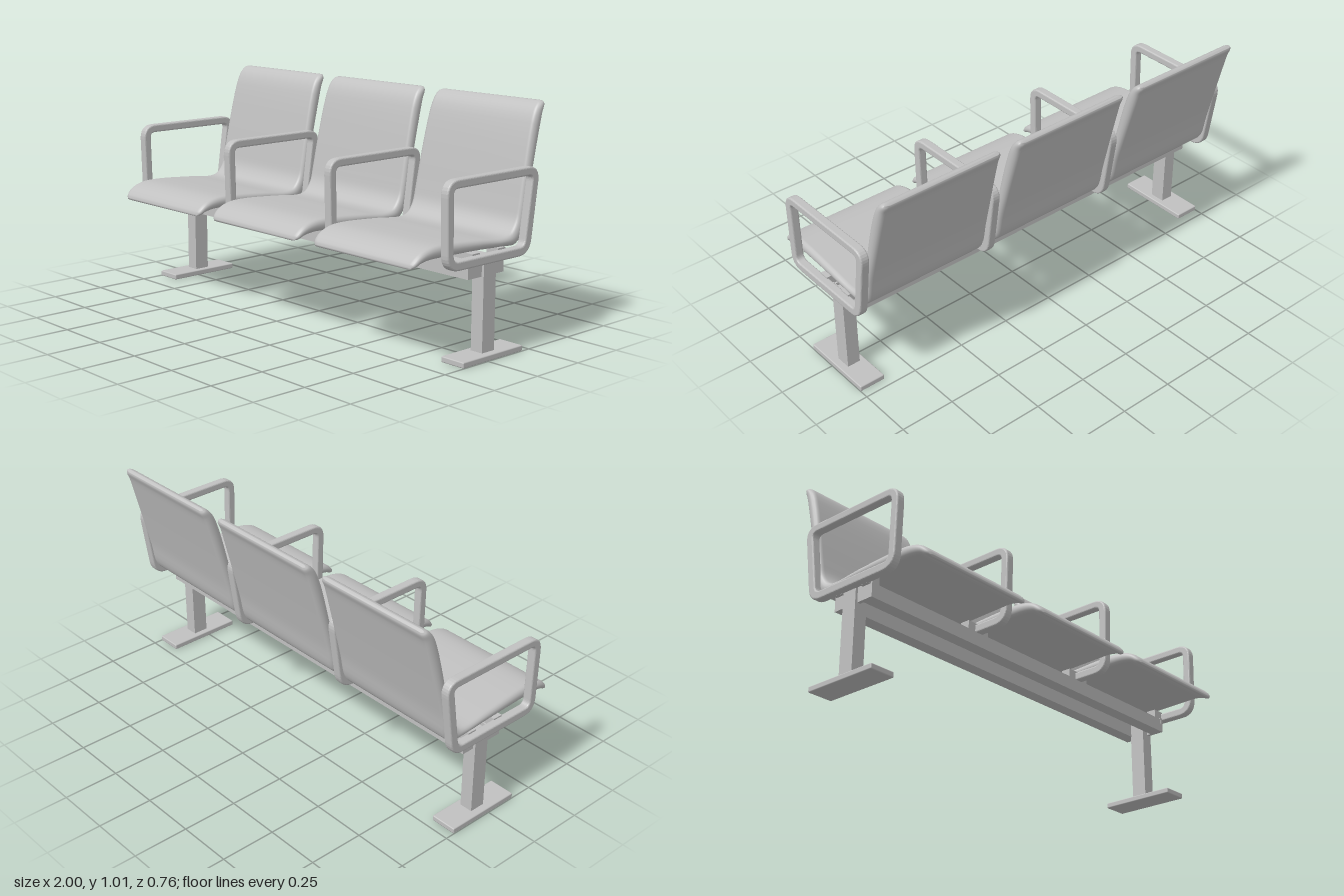
import * as THREE from 'three';
import { RoundedBoxGeometry } from 'three/addons/geometries/RoundedBoxGeometry.js';

// Seat shell stations from front lip to top of back:
// [half width, upper z, upper y, lower z, lower y]
const STATIONS = [
  [0.268, 0.378, 0.428, 0.374, 0.422],
  [0.283, 0.372, 0.445, 0.357, 0.426],
  [0.291, 0.34, 0.475, 0.335, 0.438],
  [0.294, 0.29, 0.494, 0.29, 0.447],
  [0.297, 0.22, 0.5, 0.22, 0.448],
  [0.302, 0, 0.486, 0, 0.445],
  [0.303, -0.13, 0.474, -0.14, 0.437],
  [0.303, -0.175, 0.485, -0.205, 0.437],
  [0.303, -0.21, 0.53, -0.24, 0.47],
  [0.302, -0.228, 0.6, -0.265, 0.58],
  [0.3, -0.25, 0.71, -0.293, 0.69],
  [0.294, -0.3, 0.92, -0.345, 0.885],
  [0.291, -0.325, 0.975, -0.365, 0.955],
  [0.287, -0.35, 1.0, -0.378, 0.985],
  [0.277, -0.368, 1.006, -0.378, 0.998],
];

// Lofts a flat section with rounded sides along the seat profile
function seatGeometry() {
  const upper = new THREE.CatmullRomCurve3(STATIONS.map(s => new THREE.Vector3(s[0], s[2], s[1])));
  const lower = new THREE.CatmullRomCurve3(STATIONS.map(s => new THREE.Vector3(s[0], s[4], s[3])));
  const rows = 56, half = 9, n = half * 2, r = 0.022;
  const pos = [], idx = [];
  for (let j = 0; j <= rows; j++) {
    const a = upper.getPoint(j / rows), b = lower.getPoint(j / rows);
    for (let i = 0; i < n; i++) {
      const side = i < half ? 1 : -1;
      const angle = -Math.PI / 2 + Math.PI * (i % half) / (half - 1) + (side < 0 ? Math.PI : 0);
      const k = (1 + Math.sin(angle)) / 2;
      pos.push(side * (a.x - r) + r * Math.cos(angle), b.y + (a.y - b.y) * k, b.z + (a.z - b.z) * k);
    }
  }
  for (let j = 0; j < rows; j++) {
    for (let i = 0; i < n; i++) {
      const i2 = (i + 1) % n;
      const p = j * n + i, q = p + n, s = (j + 1) * n + i2, t = j * n + i2;
      idx.push(p, q, s, p, s, t);
    }
  }
  // End caps
  const last = rows * n;
  for (let i = 1; i < n - 1; i++) {
    idx.push(0, i, i + 1);
    idx.push(last, last + i + 1, last + i);
  }
  const g = new THREE.BufferGeometry();
  g.setAttribute('position', new THREE.Float32BufferAttribute(pos, 3));
  g.setIndex(idx);
  g.computeVertexNormals();
  return g;
}

// Traces a polygon with rounded corners of radius r
function roundedOutline(path, pts, r) {
  const v = pts.map(p => new THREE.Vector2(...p));
  v.forEach((c, i) => {
    const prev = v[(i + v.length - 1) % v.length], next = v[(i + 1) % v.length];
    const a = c.clone().add(prev.clone().sub(c).setLength(r));
    const b = c.clone().add(next.clone().sub(c).setLength(r));
    if (i === 0) path.moveTo(a.x, a.y);
    else path.lineTo(a.x, a.y);
    path.quadraticCurveTo(c.x, c.y, b.x, b.y);
  });
  path.closePath();
  return path;
}

// Closed armrest loop, drawn in (z, y) and extruded along x
function armrestGeometry() {
  const bevel = 0.007, width = 0.04;
  const shape = roundedOutline(new THREE.Shape(),
    [[0.237, 0.405], [-0.235, 0.405], [-0.284, 0.75], [0.246, 0.75]], 0.06);
  shape.holes.push(roundedOutline(new THREE.Path(),
    [[0.215, 0.429], [0.222, 0.728], [-0.256, 0.728], [-0.213, 0.429]], 0.034));
  const g = new THREE.ExtrudeGeometry(shape, {
    depth: width - 2 * bevel, bevelEnabled: true, bevelSize: bevel,
    bevelThickness: bevel, bevelSegments: 3, curveSegments: 8,
  });
  g.translate(0, 0, -(width - 2 * bevel) / 2);
  g.rotateY(-Math.PI / 2);
  return g;
}

export function createModel() {
  const model = new THREE.Group();
  model.name = 'threeSeatBench';
  const metal = new THREE.MeshStandardMaterial({ color: 0xc0c0c0 });
  metal.name = 'lightGrey';

  const add = (name, geometry, x = 0, y = 0, z = 0) => {
    const mesh = new THREE.Mesh(geometry, metal);
    mesh.name = name;
    mesh.position.set(x, y, z);
    model.add(mesh);
  };
  const box = (name, w, h, d, x, y, z) => add(name, new THREE.BoxGeometry(w, h, d), x, y, z);

  // Seats and armrests
  const seat = seatGeometry();
  [-0.665, -0.005, 0.66].forEach(x => add('seat', seat, x));
  const armrest = armrestGeometry();
  const armX = [-0.98, -0.338, 0.325, 0.98];
  armX.forEach(x => add('armrest', armrest, x));

  // Twin rails under the seats
  for (const z of [0.05, -0.1]) box('rail', 1.9, 0.062, 0.06, 0, 0.369, z);

  // Mounting tabs joining rails, seats and armrests
  for (const x of armX) {
    const inner = Math.abs(x) < 0.5;
    for (const z of [0.05, -0.1]) {
      box('mountingTab', inner ? 0.12 : 0.06, 0.045, 0.045, inner ? x : x - Math.sign(x) * 0.04, 0.42, z);
    }
  }

  // Legs, feet and end brackets
  for (const s of [-1, 1]) {
    box('leg', 0.06, 0.385, 0.072, s * 0.937, 0.21, -0.036);
    add('foot', new RoundedBoxGeometry(0.12, 0.025, 0.355, 2, 0.005), s * 0.94, 0.0125, -0.032);
    box('endBracket', 0.016, 0.068, 0.212, s * 0.948, 0.372, -0.025);
  }
  return model;
}
